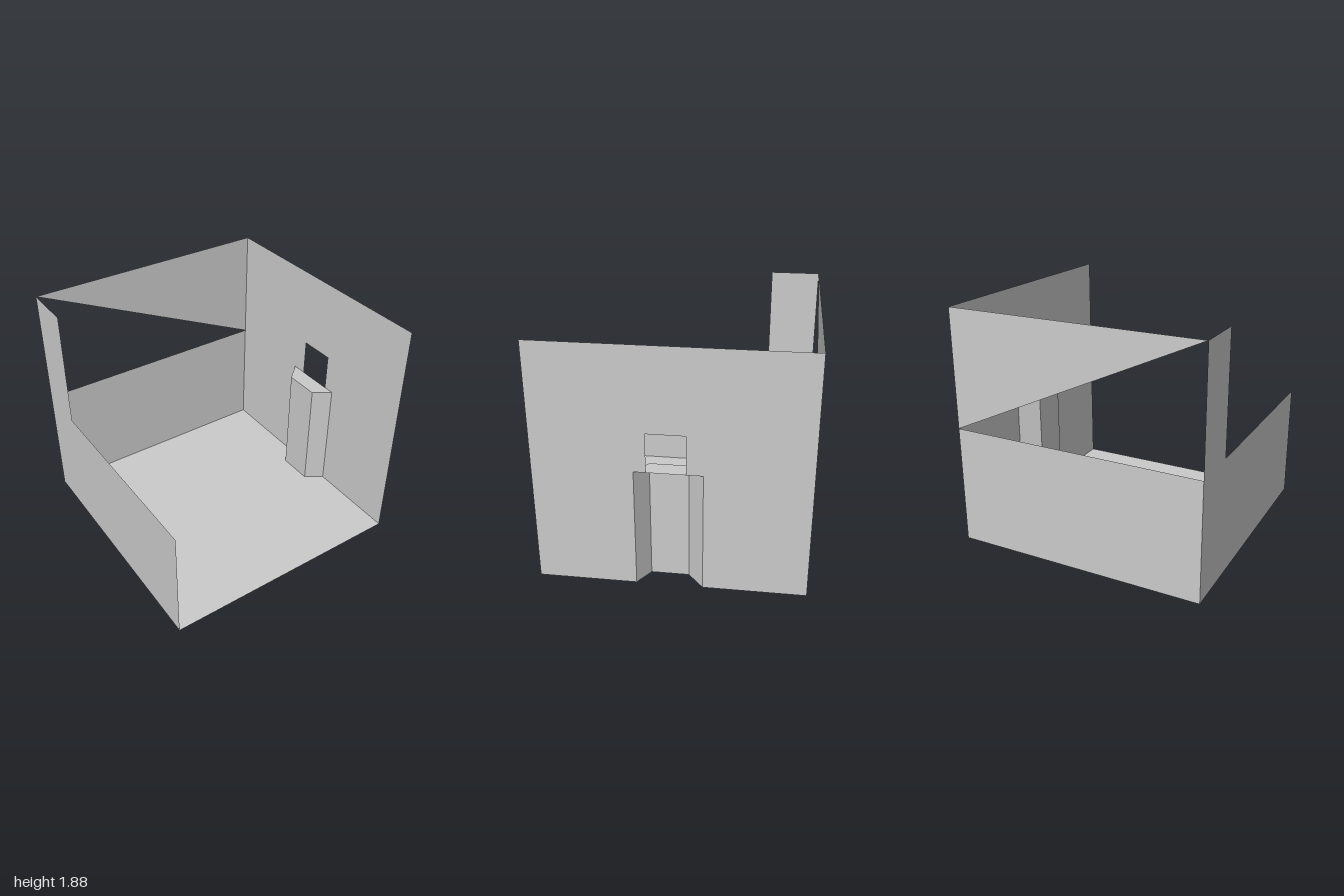
import * as THREE from 'three';

const LOW = 0.94, HIGH = 1.88; // half-height walls and full wall height

export function createModel() {
  const group = new THREE.Group();
  const material = new THREE.MeshStandardMaterial({ color: 0xcccccc, side: THREE.DoubleSide, flatShading: true });

  const add = (name, geometry) => {
    const mesh = new THREE.Mesh(geometry, material);
    mesh.name = name;
    group.add(mesh);
    return mesh;
  };
  const flat = (points) => new THREE.ShapeGeometry(new THREE.Shape(points.map(([a, b]) => new THREE.Vector2(a, b))));
  // Horizontal sheet from [x, z] points
  const slab = (name, y, points) =>
    add(name, flat(points.map(([x, z]) => [x, -z])).rotateX(-Math.PI / 2).translate(0, y, 0));
  // Wall across x from [z, y] points
  const sideWall = (name, x, points) =>
    add(name, flat(points.map(([z, y]) => [-z, y])).rotateY(Math.PI / 2).translate(x, 0, 0));
  // Wall across z from [x, y] points
  const backWall = (name, points) => add(name, flat(points).translate(0, 0, -1));

  // Plan of the recessed doorway, [x, z]
  const niche = [[1, 0.26], [0.86, 0.17], [0.86, -0.115], [1, -0.235]];

  // Floor, notched around the recess
  slab('floor', 0, [[-1, 1], [1, 1], ...niche, [1, -1], [-1, -1]]);

  // Tall wall with doorway and window directly above it
  sideWall('leftWall', 1, [
    [1, 0], [0.26, 0], [0.26, LOW], [0.17, LOW], [0.17, 1.24], [-0.115, 1.24],
    [-0.115, LOW], [-0.235, LOW], [-0.235, 0], [-1, 0], [-1, HIGH], [1, HIGH],
  ]);

  // Low wall with a full-height strip at the back corner
  sideWall('rightWall', -1, [[1, 0], [1, LOW], [-0.6, LOW], [-0.6, HIGH], [-1, HIGH], [-1, 0]]);

  // Low back wall and the triangular panel over it
  backWall('backWall', [[-1, 0], [1, 0], [1, LOW], [-1, LOW]]);
  backWall('backGable', [[1, LOW], [1, HIGH], [-1, HIGH]]);

  // Recess: three upright faces and a lid
  for (let i = 0; i < 3; i++) {
    const [x0, z0] = niche[i], [x1, z1] = niche[i + 1];
    const mesh = add('recessWall' + (i + 1), new THREE.PlaneGeometry(Math.hypot(x1 - x0, z1 - z0), LOW));
    mesh.position.set((x0 + x1) / 2, LOW / 2, (z0 + z1) / 2);
    mesh.rotation.y = Math.atan2(z0 - z1, x1 - x0);
  }
  slab('recessLid', LOW, niche);

  return group;
}
